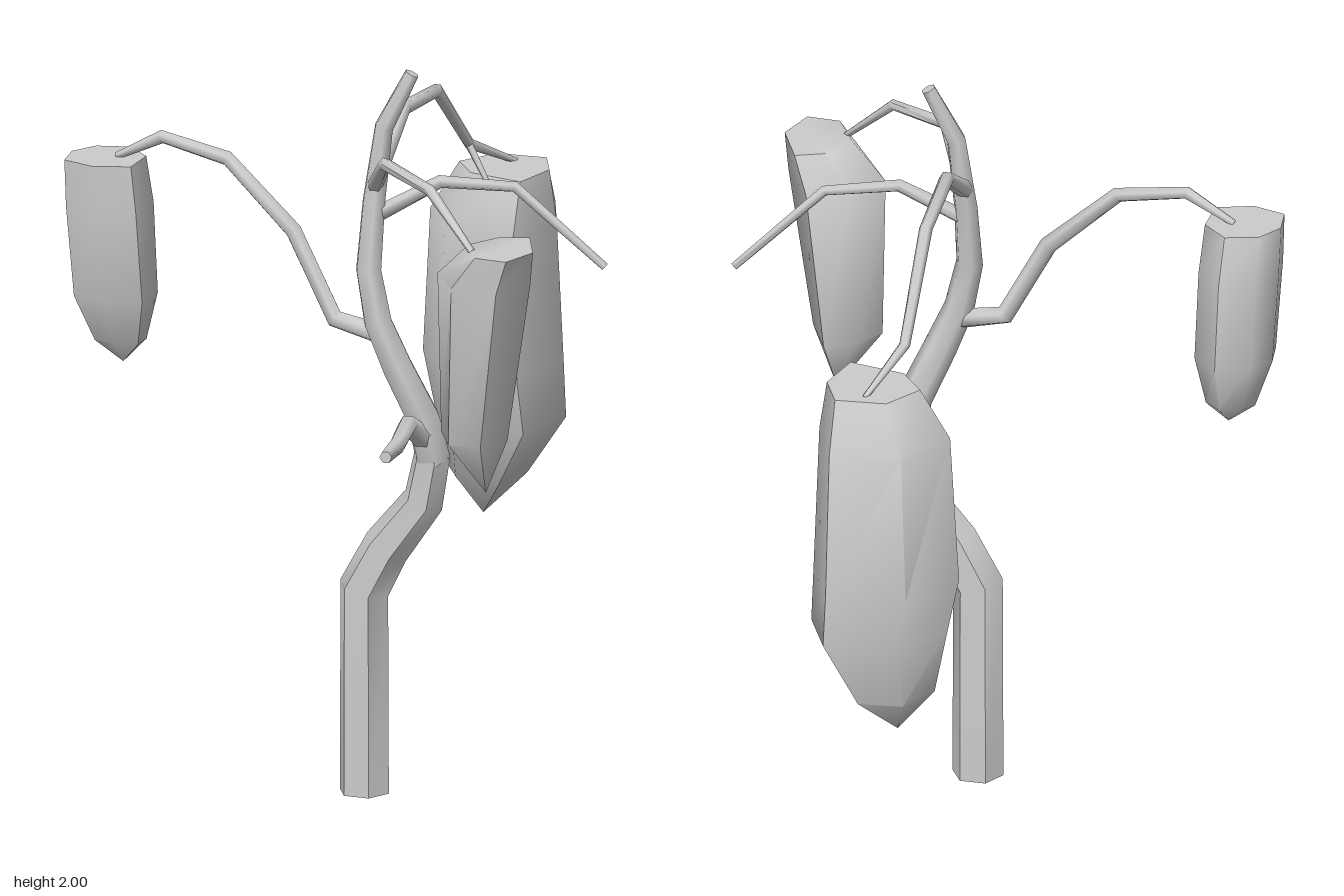
import * as THREE from 'three';
import { toCreasedNormals } from 'three/addons/utils/BufferGeometryUtils.js';

const V = (p) => new THREE.Vector3(...p);

// Skin over rings of points, closed at each end by a fan to a point
function loft(rings, startTip, endTip) {
  const n = rings[0].length, pos = [], idx = [];
  const centre = (ring) => ring.reduce((s, p) => s.add(p), new THREE.Vector3()).divideScalar(n);
  rings.forEach((ring) => ring.forEach((p) => pos.push(p.x, p.y, p.z)));
  const first = startTip || centre(rings[0]);
  const last = endTip || centre(rings[rings.length - 1]);
  pos.push(first.x, first.y, first.z, last.x, last.y, last.z);
  const s = rings.length * n, top = s - n;
  for (let j = 0; j < n; j++) {
    const k = (j + 1) % n;
    for (let i = 0; i < rings.length - 1; i++) {
      const a = i * n + j, b = i * n + k;
      idx.push(a, b, b + n, a, b + n, a + n);
    }
    idx.push(s, k, j, s + 1, top + j, top + k);
  }
  const g = new THREE.BufferGeometry();
  g.setAttribute('position', new THREE.Float32BufferAttribute(pos, 3));
  g.setIndex(idx);
  return g;
}

// Tapering limb along points [x, y, z, radius]
function limb(points, sides, crease) {
  const c = points.map((p) => V(p.slice(0, 3)));
  const normal = new THREE.Vector3(1, 0.01, 0.02);
  const rings = c.map((p, i) => {
    const t = new THREE.Vector3();
    if (i > 0) t.add(p.clone().sub(c[i - 1]).normalize());
    if (i < c.length - 1) t.add(c[i + 1].clone().sub(p).normalize());
    t.normalize();
    if (i === 0 && Math.abs(t.x) > 0.8) normal.set(0, 1, 0);
    normal.addScaledVector(t, -normal.dot(t)).normalize();
    const side = t.clone().cross(normal);
    return Array.from({ length: sides }, (_, j) => {
      const a = (j / sides) * Math.PI * 2, r = points[i][3];
      return p.clone().addScaledVector(normal, r * Math.cos(a)).addScaledVector(side, r * Math.sin(a));
    });
  });
  return toCreasedNormals(loft(rings), crease);
}

// Hanging pod: plan outline [x, z] fitted into each level [y, xMin, xMax, zMin, zMax]
function pod(outline, levels, tip) {
  const xs = outline.map((p) => p[0]), zs = outline.map((p) => p[1]);
  const x0 = Math.min(...xs), z0 = Math.min(...zs);
  const w = Math.max(...xs) - x0, d = Math.max(...zs) - z0;
  const rings = levels.map(([y, a, b, e, f]) => outline.map(([x, z]) =>
    new THREE.Vector3(a + ((x - x0) / w) * (b - a), y, e + ((z - z0) / d) * (f - e))));
  return toCreasedNormals(loft(rings, V(tip)), 0.95);
}

export function createModel() {
  const group = new THREE.Group();
  const material = new THREE.MeshStandardMaterial({ color: 0xcccccc, side: THREE.DoubleSide });
  const add = (name, geometry) => {
    const mesh = new THREE.Mesh(geometry, material);
    mesh.name = name;
    group.add(mesh);
  };

  // Faceted lower trunk, smooth upper trunk
  add('lowerTrunk', limb([
    [0.087, 0, 0.263, 0.069], [0.087, 0.56, 0.263, 0.069], [0.15, 0.68, 0.265, 0.064],
    [0.255, 0.82, 0.268, 0.056], [0.285, 0.96, 0.28, 0.05],
  ], 6, 0.7));
  add('upperTrunk', limb([
    [0.285, 0.94, 0.278, 0.05], [0.268, 1.06, 0.31, 0.048], [0.205, 1.2, 0.335, 0.045],
    [0.155, 1.32, 0.345, 0.041], [0.125, 1.46, 0.335, 0.037], [0.13, 1.64, 0.308, 0.033],
    [0.15, 1.84, 0.285, 0.027], [0.222, 1.99, 0.268, 0.02],
  ], 6, 1.2));

  // Branches
  const branches = {
    rightBranch: [
      [0.15, 1.29, 0.34, 0.028], [0.03, 1.315, 0.335, 0.026], [-0.09, 1.54, 0.32, 0.024],
      [-0.28, 1.715, 0.305, 0.021], [-0.47, 1.75, 0.287, 0.018], [-0.6, 1.68, 0.275, 0.01],
    ],
    backBranch: [
      [0.13, 1.69, 0.3, 0.025], [0.13, 1.83, 0.075, 0.02], [0.13, 1.805, -0.18, 0.018],
      [0.132, 1.585, -0.43, 0.015], [0.205, 1.5, -0.59, 0.008],
    ],
    backTwig: [[0.132, 1.59, -0.42, 0.011], [0.195, 1.49, -0.4, 0.007]],
    frontLeftBranch: [
      [0.13, 1.68, 0.305, 0.022], [0.215, 1.795, 0.46, 0.018], [0.385, 1.775, 0.58, 0.015],
      [0.525, 1.64, 0.645, 0.009],
    ],
    leftBranch: [
      [0.13, 1.6, 0.31, 0.022], [0.3, 1.7, 0.265, 0.018], [0.49, 1.69, 0.212, 0.015],
      [0.718, 1.475, 0.148, 0.011],
    ],
    frontStub: [
      [0.28, 0.98, 0.28, 0.032], [0.258, 1.065, 0.4, 0.027], [0.272, 1.045, 0.52, 0.023],
      [0.285, 1.05, 0.648, 0.017],
    ],
  };
  for (const name in branches) add(name, limb(branches[name], 6, 1.2));

  // Hanging pods, levels listed from the bottom up
  add('backPod', pod(
    [[0.286, -0.724], [0.07, -0.71], [-0.04, -0.54], [0.06, -0.39], [0.3, -0.33], [0.356, -0.55]],
    [
      [0.65, 0.02, 0.24, -0.69, -0.44], [0.82, -0.01, 0.355, -0.71, -0.37],
      [0.97, -0.04, 0.35, -0.722, -0.345], [1.37, -0.01, 0.34, -0.69, -0.325],
      [1.505, 0.07, 0.32, -0.63, -0.4],
    ],
    [0.12, 0.53, -0.57]));
  add('frontLeftPod', pod(
    [[0.605, 0.447], [0.49, 0.48], [0.41, 0.58], [0.496, 0.708], [0.63, 0.716], [0.687, 0.595]],
    [
      [1.11, 0.41, 0.6, 0.45, 0.68], [1.55, 0.405, 0.67, 0.45, 0.71],
      [1.645, 0.5, 0.685, 0.487, 0.72],
    ],
    [0.53, 0.95, 0.55]));
  add('rightPod', pod(
    [[-0.504, 0.226], [-0.58, 0.148], [-0.68, 0.175], [-0.73, 0.253], [-0.72, 0.35], [-0.62, 0.385], [-0.51, 0.35]],
    [
      [1.17, -0.665, -0.535, 0.19, 0.3], [1.3, -0.71, -0.505, 0.155, 0.36],
      [1.55, -0.725, -0.515, 0.15, 0.385], [1.68, -0.727, -0.527, 0.185, 0.386],
    ],
    [-0.59, 1.11, 0.254]));
  return group;
}
